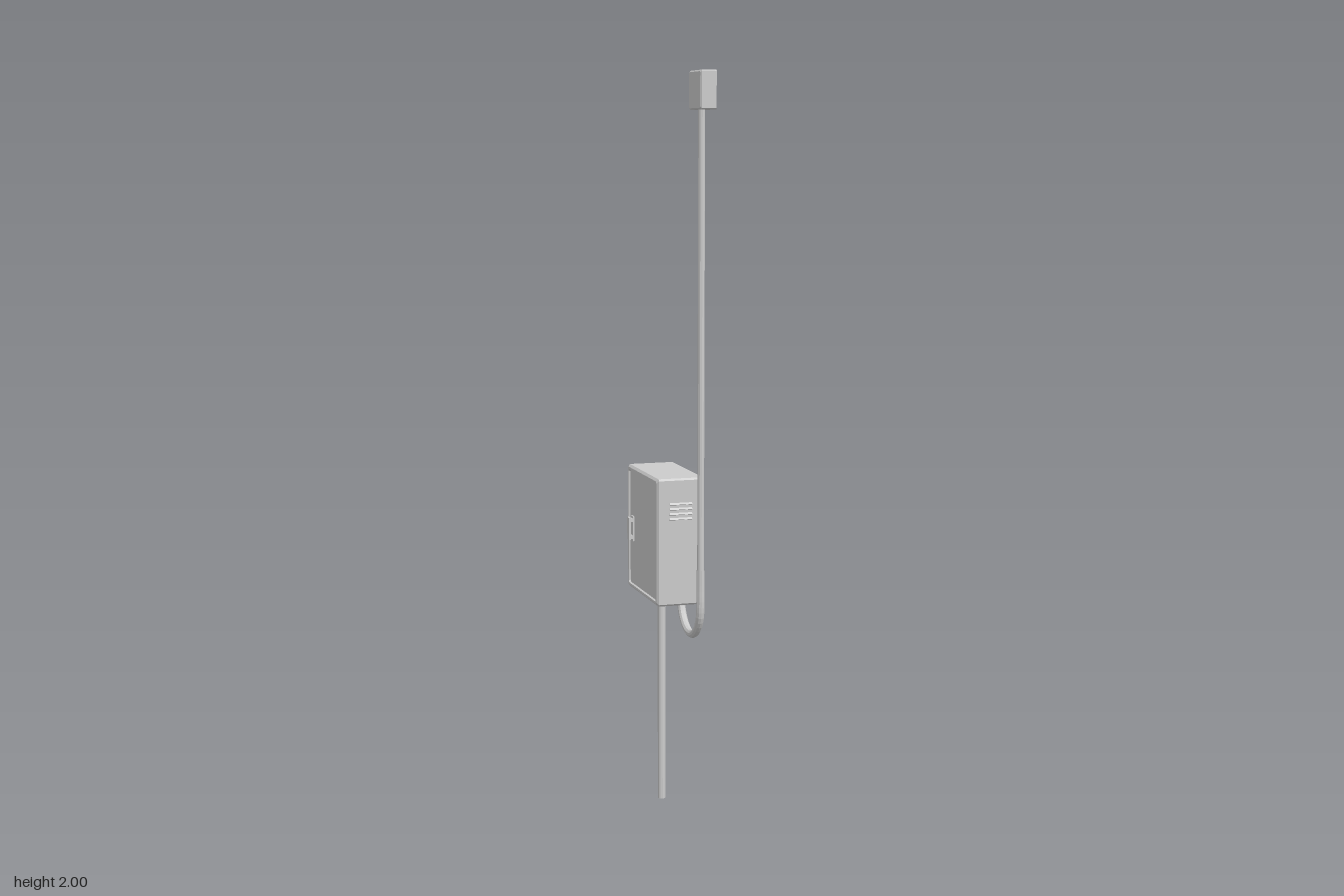
import * as THREE from 'three';

const material = new THREE.MeshStandardMaterial({ color: 0xcccccc, flatShading: true, side: THREE.DoubleSide });

function add(group, name, geometry, x = 0, y = 0, z = 0) {
  const mesh = new THREE.Mesh(geometry, material);
  mesh.name = name;
  mesh.position.set(x, y, z);
  group.add(mesh);
  return mesh;
}

// Sheet-metal box open towards +x, lofted from chamfered rectangles given as [x, inset]
function openShell(y0, y1, z0, z1, chamfer, rings) {
  const pos = [], index = [];
  for (const [x, inset] of rings) {
    const a = y0 + inset, b = y1 - inset, c = z0 + inset, d = z1 - inset, k = chamfer;
    const loop = [[a, c + k], [a, d - k], [a + k, d], [b - k, d], [b, d - k], [b, c + k], [b - k, c], [a + k, c]];
    for (const [y, z] of loop) pos.push(x, y, z);
  }
  for (let r = 0; r < rings.length - 1; r++) {
    for (let i = 0; i < 8; i++) {
      const j = (i + 1) % 8, p = r * 8, q = p + 8;
      index.push(p + i, q + i, p + j, p + j, q + i, q + j);
    }
  }
  // Closed side facing -x
  const last = (rings.length - 1) * 8;
  for (let i = 1; i < 7; i++) index.push(last, last + i + 1, last + i);
  const geometry = new THREE.BufferGeometry();
  geometry.setAttribute('position', new THREE.Float32BufferAttribute(pos, 3));
  geometry.setIndex(index);
  const flat = geometry.toNonIndexed();
  flat.computeVertexNormals();
  return flat;
}

export function createModel() {
  const model = new THREE.Group();
  model.name = 'utilityBox';

  // Cabinet with a framed, slightly recessed door on its -x side
  add(model, 'cabinet', openShell(0.586, 0.932, -0.193, 0.093, 0.005,
    [[0.068, 0], [-0.056, 0], [-0.062, 0.006], [-0.062, 0.012], [-0.057, 0.014]]));

  // Door handle: backing plate, two posts and a grip
  const handle = new THREE.Group();
  handle.name = 'doorHandle';
  add(handle, 'handlePlate', new THREE.BoxGeometry(0.006, 0.07, 0.022), -0.058, 0.757, -0.151);
  add(handle, 'handleGrip', new THREE.BoxGeometry(0.005, 0.062, 0.02), -0.0695, 0.757, -0.151);
  for (const s of [-1, 1]) {
    add(handle, 'handlePost', new THREE.BoxGeometry(0.009, 0.01, 0.016), -0.064, 0.757 + s * 0.024, -0.151);
  }
  model.add(handle);

  // Vent louvres on the front wall
  for (let i = 0; i < 4; i++) {
    const slat = add(model, 'ventLouvre', new THREE.BoxGeometry(0.064, 0.008, 0.004), 0.004, 0.824 + i * 0.0135, 0.092);
    slat.rotation.x = -0.5;
  }

  // Ground post
  add(model, 'groundPost', new THREE.CylinderGeometry(0.011, 0.011, 0.61, 12), 0, 0.305, -0.07);

  // Tall rod running up into the small box
  add(model, 'rod', new THREE.CylinderGeometry(0.009, 0.009, 1.33, 10), 0.046, 1.325, 0.137);

  // Flexible conduit bending from the rod into the cabinet floor
  const points = [new THREE.Vector3(0.046, 0.69, 0.137), new THREE.Vector3(0.046, 0.64, 0.137)];
  for (let i = 0; i <= 8; i++) {
    const a = Math.PI * i / 8;
    points.push(new THREE.Vector3(0.046, 0.59 - 0.093 * Math.sin(a), 0.049 + 0.088 * Math.cos(a)));
  }
  points.push(new THREE.Vector3(0.046, 0.61, -0.039));
  add(model, 'conduit', new THREE.TubeGeometry(new THREE.CatmullRomCurve3(points), 28, 0.011, 10));
  add(model, 'conduitEnd', new THREE.CylinderGeometry(0.011, 0.011, 0.004, 10), 0.046, 0.61, -0.039);

  // Small open box at the top of the rod
  add(model, 'topBox', openShell(1.9, 2, 0.089, 0.19, 0.003, [[0.069, 0], [0.03, 0], [0.026, 0.004]]));

  return model;
}
